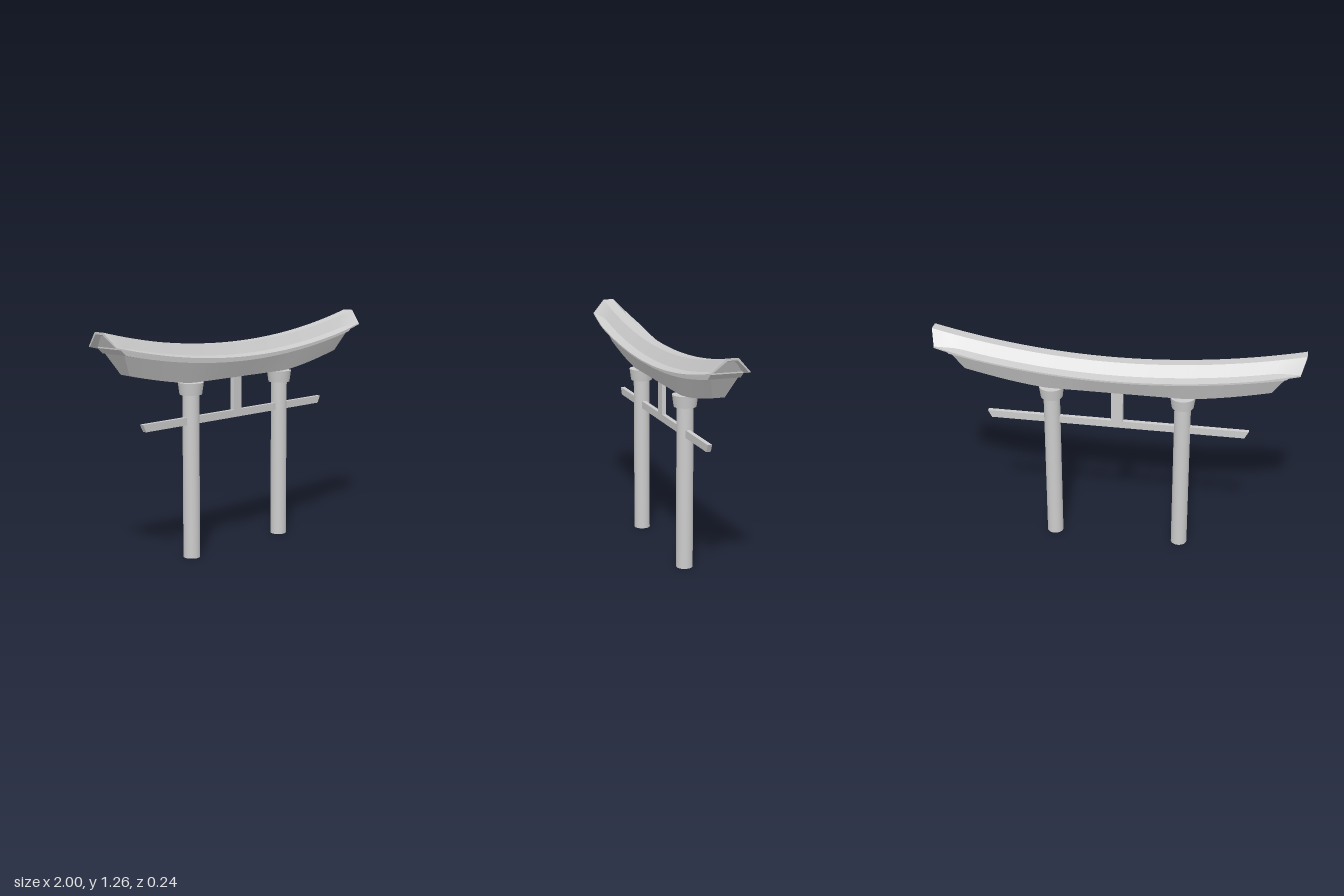
import * as THREE from 'three';
import { toCreasedNormals } from 'three/addons/utils/BufferGeometryUtils.js';

const STEPS = 40;

// Lofts a ring of [x, y, z] points along x; t runs from -1 to 1.
// Point i and point n-1-i of a ring face each other, so the ends close with quads.
function loft(ringAt) {
  const pos = [], idx = [];
  let n = 0;
  for (let s = 0; s <= STEPS; s++) {
    const ring = ringAt(-1 + (2 * s) / STEPS);
    n = ring.length;
    for (const p of ring) pos.push(...p);
  }
  for (let s = 0; s < STEPS; s++) {
    for (let i = 0; i < n; i++) {
      const a = s * n + i, b = s * n + ((i + 1) % n);
      idx.push(a, b, a + n, b, b + n, a + n);
    }
  }
  const e = STEPS * n;
  for (let i = 0; i < n / 2 - 1; i++) {
    const a = i, b = i + 1, c = n - 2 - i, d = n - 1 - i;
    idx.push(e + a, e + b, e + c, e + a, e + c, e + d);
    idx.push(a, c, b, a, d, c);
  }
  const g = new THREE.BufferGeometry();
  g.setAttribute('position', new THREE.Float32BufferAttribute(pos, 3));
  g.setIndex(idx);
  return toCreasedNormals(g, 0.35);
}

const mirrorZ = (pts) => pts.map(([x, y, z]) => [x, y, -z]).reverse();
const ramp = (v, a, b) => THREE.MathUtils.clamp((v - a) / (b - a), 0, 1);

// Curves shared by the roof and the beams
const ridgeY = (x) => 1.137 + 0.12 * x * x;
const eaveY = (x) => 1.07 + 0.12 * x * x;
const creaseZ = (t) => 0.07 + 0.03 * ramp(Math.abs(t), 0.88, 1);
const eaveZ = (t) => 0.118 - 0.016 * ramp(Math.abs(t), 0.78, 1);
const bottomY = (x) => {
  const k = ramp(Math.abs(x), 0.36, 0.83);
  return 0.95 + 0.08 * Math.pow(k, 1.4);
};

// Thin roof shell: narrow flat ridge, steep sides, flat rim
function roofRing(t) {
  const xr = t, xe = t * 0.975;
  const r = ridgeY(xr), e = eaveY(xe), c = creaseZ(t), w = eaveZ(t);
  const outer = [[xr, r, 0.03], [xe, e + 0.01 * (1 - ramp(Math.abs(t), 0.88, 1)), c], [xe, e, w]];
  const inner = [[xr, r - 0.012, 0.025], [xe, e - 0.004, c - 0.006], [xe, e - 0.008, w]];
  const over = [...mirrorZ(outer), ...outer];
  const under = [...mirrorZ(inner), ...inner].reverse();
  return [...over, ...under];
}

// Filler under the roof, with ends sloping inward
function upperRing(t) {
  const x1 = t * 0.965, x2 = t * 0.935, x3 = t * 0.9;
  const c = Math.min(0.085, creaseZ(t) - 0.008);
  const half = [
    [x1, ridgeY(x1) - 0.014, 0.024],
    [x2, eaveY(x2) + 0.001, c],
    [x2, eaveY(x2) - 0.006, 0.085],
    [x3, eaveY(x3) - 0.028, 0.085],
  ];
  return [...half, ...mirrorZ(half)];
}

// Tapered lower beam
function lowerRing(t) {
  const xa = t * 0.9, xb = t * 0.83;
  const half = [[xa, eaveY(xa) - 0.026, 0.071], [xb, bottomY(xb), 0.032]];
  return [...half, ...mirrorZ(half)];
}

// Tie beam with slanted ends
function tieRing(t) {
  const half = [[t * 0.722, 0.766, 0.012], [t * 0.7, 0.725, 0.012]];
  return [...half, ...mirrorZ(half)];
}

export function createModel() {
  const group = new THREE.Group();
  const material = new THREE.MeshStandardMaterial({ color: 0xcccccc });
  const add = (name, geometry, x = 0, y = 0) => {
    const mesh = new THREE.Mesh(geometry, material);
    mesh.name = name;
    mesh.position.set(x, y, 0);
    group.add(mesh);
  };

  add('roof', loft(roofRing));
  add('upperBeam', loft(upperRing));
  add('lowerBeam', loft(lowerRing));
  add('tieBeam', loft(tieRing));
  add('centreStrut', new THREE.BoxGeometry(0.064, 0.2, 0.024), -0.003, 0.86);

  // Columns with flared collars
  for (const side of [1, -1]) {
    const prefix = side > 0 ? 'left' : 'right';
    add(prefix + 'Column', new THREE.CylinderGeometry(0.045, 0.045, 0.94, 32), side * 0.36, 0.47);
    add(prefix + 'Collar', new THREE.CylinderGeometry(0.069, 0.06, 0.064, 32), side * 0.36, 0.917);
  }
  return group;
}
